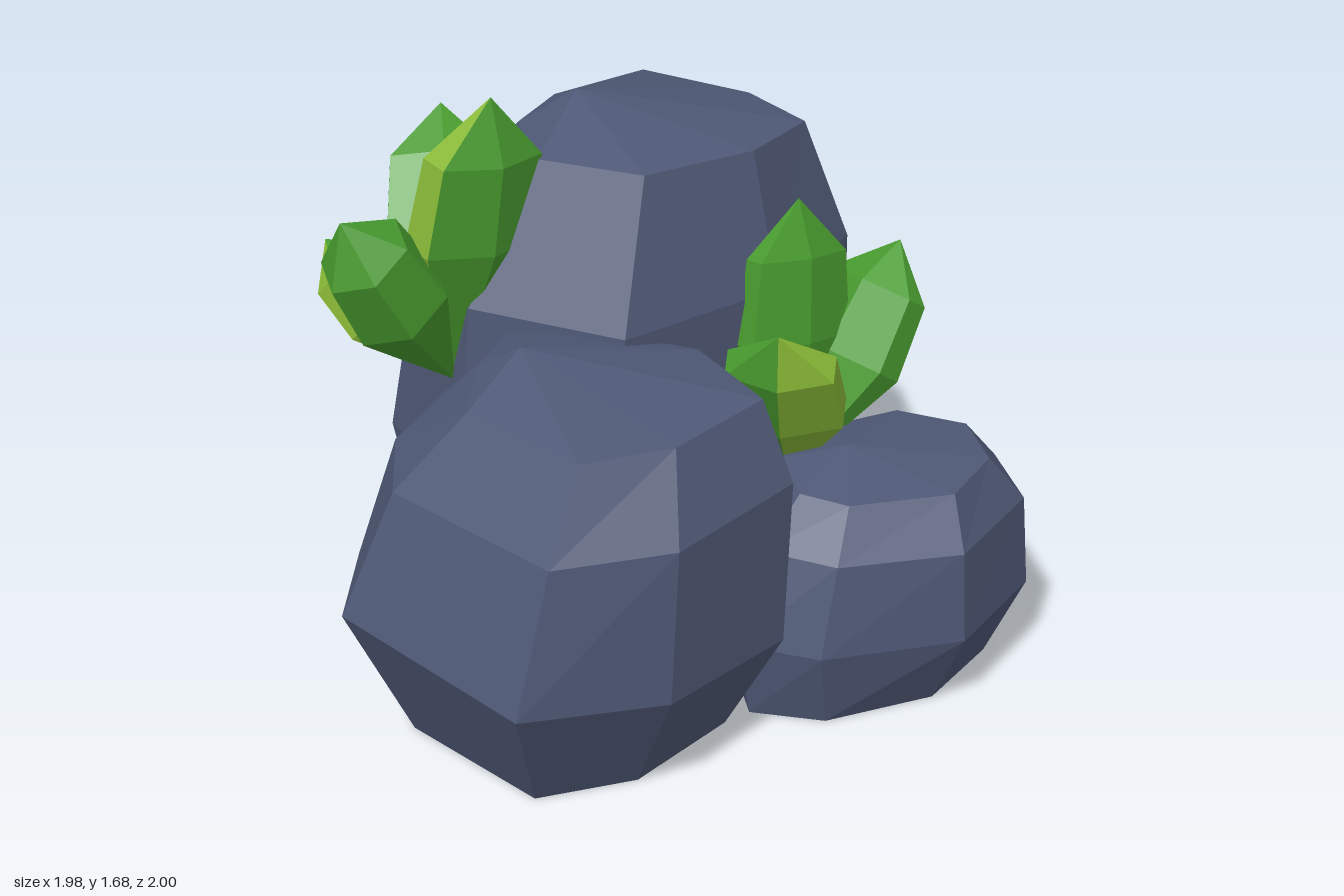
import * as THREE from 'three';

const stone = new THREE.MeshStandardMaterial({ color: 0x4f5976, flatShading: true });
stone.name = 'slate stone';
const green = new THREE.MeshStandardMaterial({ color: 0x489a2e, flatShading: true });
green.name = 'leaf green';
const lime = new THREE.MeshStandardMaterial({ color: 0x88b836, flatShading: true });
lime.name = 'lime green';

const V = (x, y, z) => new THREE.Vector3(x, y, z);

// Skin stacked rings of points, closed with a bottom and a top point.
// Faces whose normal points along accent get the second material.
function loft(rings, bottom, top, accent) {
  const tris = [];
  const n = rings[0].length;
  const last = rings[rings.length - 1];
  for (let i = 0; i < n; i++) {
    const j = (i + 1) % n;
    tris.push([bottom, rings[0][j], rings[0][i]]);
    for (let k = 0; k < rings.length - 1; k++) {
      const a = rings[k], b = rings[k + 1];
      tris.push([a[i], a[j], b[j]], [a[i], b[j], b[i]]);
    }
    tris.push([last[i], last[j], top]);
  }
  const geo = new THREE.BufferGeometry().setFromPoints(tris.flat());
  geo.computeVertexNormals();
  if (accent) {
    tris.forEach(([a, b, c], t) => {
      const normal = b.clone().sub(a).cross(c.clone().sub(a)).normalize();
      geo.addGroup(t * 3, 3, normal.dot(accent) > 0.3 ? 1 : 0);
    });
  }
  return geo;
}

// Boulder from eight-sided cross-sections: [[height, slope along x, slope along z], x, z, x, z, ...]
function boulder(name, sections, peak) {
  const rings = sections.map(([[y, sx, sz], ...p]) =>
    Array.from({ length: p.length / 2 }, (_, i) => {
      const x = p[2 * i], z = p[2 * i + 1];
      return V(x, y + sx * x + sz * z, z);
    }));
  const centre = rings[0].reduce((s, p) => s.add(p), V(0, 0, 0)).divideScalar(rings[0].length);
  const mesh = new THREE.Mesh(loft(rings, centre, V(...peak)), stone);
  mesh.name = name;
  return mesh;
}

// Flattened six-sided pointed leaf, ridged on both faces, from base to tip
function leaf(base, { tip, width, thick, side, accent }) {
  const b = V(...base), t = V(...tip);
  const axis = t.clone().sub(b).normalize();
  const u = side ? V(...side) : V(0, 1, 0).cross(axis);
  u.addScaledVector(axis, -u.dot(axis)).normalize();
  const v = axis.clone().cross(u);
  const rings = [[0.5, 1], [0.8, 0.88]].map(([h, s]) =>
    Array.from({ length: 6 }, (_, i) => {
      const a = Math.PI / 2 + i * Math.PI / 3;
      return b.clone().lerp(t, h)
        .addScaledVector(u, Math.cos(a) * s * width / 2)
        .addScaledVector(v, Math.sin(a) * s * thick / 2);
    }));
  const geo = loft(rings, b, t, accent && V(...accent).normalize());
  const mesh = new THREE.Mesh(geo, accent ? [green, lime] : green);
  mesh.name = 'leaf';
  return mesh;
}

function plant(name, base, leaves) {
  const group = new THREE.Group();
  group.name = name;
  leaves.forEach(l => group.add(leaf(base, l)));
  return group;
}

export function createModel() {
  const model = new THREE.Group();
  model.name = 'rocksWithPlants';

  // Boulders
  model.add(boulder('tallBoulder', [
    [[0, 0, 0], -0.28, -0.2, -0.08, 0.14, 0.4, 0.15, 0.78, -0.09, 0.82, -0.43, 0.65, -0.81, 0.08, -0.81, -0.23, -0.58],
    [[0.53, 0.07, 0], -0.36, -0.25, -0.13, 0.22, 0.45, 0.23, 0.88, 0.03, 0.92, -0.44, 0.72, -1, 0.11, -0.95, -0.3, -0.68],
    [[1.06, 0, 0], -0.33, -0.23, -0.11, 0.21, 0.45, 0.21, 0.87, 0.04, 0.93, -0.37, 0.71, -0.87, 0.18, -0.84, -0.22, -0.64],
    [[1.47, -0.05, 0.03], -0.1, -0.2, 0.06, 0.08, 0.45, 0.09, 0.75, -0.03, 0.79, -0.33, 0.67, -0.69, 0.3, -0.65, 0.05, -0.5],
  ], [0.18, 1.56, -0.39]));
  model.add(boulder('leftBoulder', [
    [[0, 0, 0], -0.78, 0.1, -0.73, 0.6, -0.45, 0.7, -0.07, 0.62, 0.04, 0.26, -0.12, -0.12, -0.34, -0.26, -0.65, -0.14],
    [[0.36, -0.07, -0.06], -0.99, 0.07, -0.9, 0.75, -0.48, 0.88, 0.01, 0.77, 0.17, 0.26, -0.1, -0.22, -0.39, -0.39, -0.75, -0.2],
    [[0.79, 0, 0], -0.85, 0.13, -0.78, 0.74, -0.45, 0.87, 0.04, 0.76, 0.18, 0.26, -0.1, -0.15, -0.4, -0.28, -0.66, -0.13],
    [[1.01, 0, 0], -0.66, 0.22, -0.61, 0.65, -0.35, 0.73, 0.02, 0.65, 0.08, 0.3, -0.08, 0, -0.27, -0.12, -0.47, 0],
  ], [-0.43, 1.11, 0.15]));
  model.add(boulder('smallBoulder', [
    [[0, 0, 0], 0.02, 0.62, 0.16, 0.79, 0.49, 0.88, 0.79, 0.78, 0.89, 0.57, 0.8, 0.32, 0.5, 0.27, 0.2, 0.31],
    [[0.24, 0, 0], -0.03, 0.62, 0.1, 0.83, 0.49, 1, 0.87, 0.86, 0.985, 0.6, 0.88, 0.29, 0.52, 0.23, 0.18, 0.25],
    [[0.51, 0, 0], 0.06, 0.62, 0.16, 0.82, 0.49, 0.98, 0.86, 0.84, 0.985, 0.59, 0.88, 0.3, 0.54, 0.27, 0.2, 0.29],
    [[0.65, 0, 0], 0.19, 0.62, 0.25, 0.76, 0.53, 0.89, 0.76, 0.79, 0.86, 0.59, 0.76, 0.4, 0.53, 0.35, 0.29, 0.42],
  ], [0.43, 0.7, 0.55]));

  // Leaf clusters, one on the small boulder and one behind the left boulder
  model.add(plant('frontPlant', [0.43, 0.5, 0.3], [
    { tip: [0.14, 1.13, 0.57], width: 0.4, thick: 0.2, accent: [0.5, -0.4, 0.75] },
    { tip: [0.53, 1.32, 0.2], width: 0.42, thick: 0.15, side: [-1, 0, 0] },
    { tip: [0.86, 1.13, 0.28], width: 0.42, thick: 0.18 },
    { tip: [0.78, 0.95, 0.08], width: 0.28, thick: 0.2, accent: [0.53, 0.1, 0.85] },
  ]));
  model.add(plant('backPlant', [-0.32, 0.8, -0.32], [
    { tip: [-0.72, 1.41, -0.28], width: 0.31, thick: 0.32 },
    { tip: [-0.24, 1.68, -0.23], width: 0.45, thick: 0.22, side: [-1, 0, 0], accent: [-0.9, 0, -0.45] },
    { tip: [-0.06, 1.47, -0.73], width: 0.41, thick: 0.18 },
    { tip: [-0.5, 1.16, -0.7], width: 0.37, thick: 0.2, accent: [-0.9, -0.2, 0.3] },
  ]));
  return model;
}
